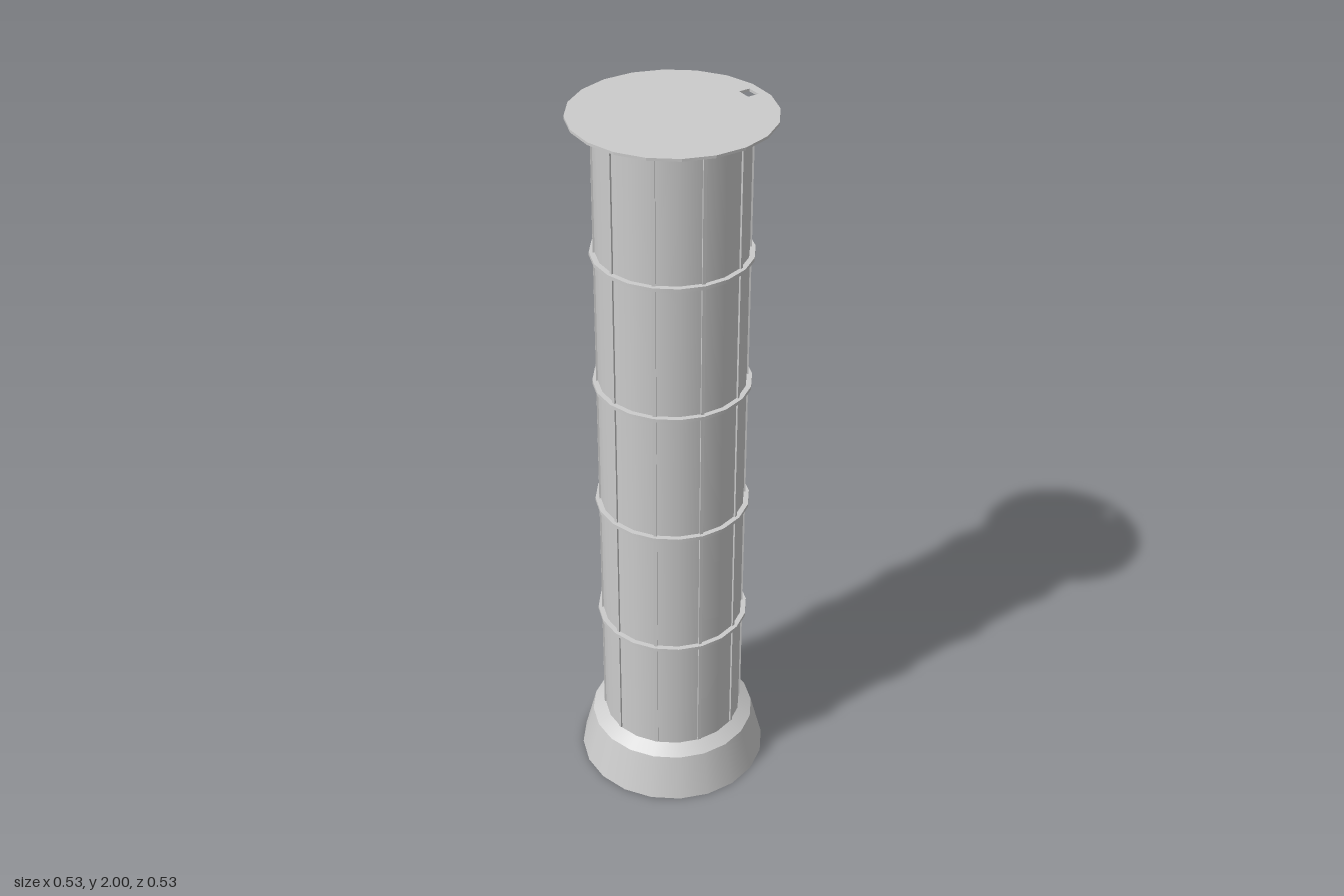
import * as THREE from 'three';

const SIDES = 20;

export function createModel() {
  const group = new THREE.Group();
  const mat = new THREE.MeshStandardMaterial({ color: 0xcccccc, side: THREE.DoubleSide });
  const add = (name, geometry, y = 0) => {
    const mesh = new THREE.Mesh(geometry, mat);
    mesh.name = name;
    mesh.position.y = y;
    group.add(mesh);
    return mesh;
  };
  // open conical band between two heights
  const band = (name, r0, y0, r1, y1) =>
    add(name, new THREE.CylinderGeometry(r1, r0, y1 - y0, SIDES, 1, true), (y0 + y1) / 2);

  // flared foot, open underneath, with a sloping shoulder
  band('footSkirt', 0.265, 0, 0.232, 0.128);
  band('footShoulder', 0.232, 0.128, 0.194, 0.152);

  // hollow shaft in five tiers, with thin battens over the panel seams
  const levels = [0.15, 0.503, 0.879, 1.254, 1.629, 1.993];
  for (let i = 0; i < 5; i++) {
    const y0 = levels[i], y1 = levels[i + 1];
    band('shaftTier', 0.195, y0, 0.195, y1);
    for (let k = 0; k < 10; k++) {
      const a = (k * Math.PI) / 5;
      const batten = add('seamBatten', new THREE.BoxGeometry(0.009, y1 - y0 - 0.01, 0.008), (y0 + y1) / 2);
      batten.position.x = 0.195 * Math.sin(a);
      batten.position.z = 0.195 * Math.cos(a);
      batten.rotation.y = a;
    }
  }

  // projecting hoops between tiers
  const hoopProfile = [[0.193, -0.005], [0.209, -0.005], [0.209, 0.005], [0.193, 0.005]]
    .map(([r, y]) => new THREE.Vector2(r, y));
  for (const y of levels.slice(1, 5)) {
    // separate bands keep the hoop edges sharp
    for (let j = 0; j < 3; j++) {
      add('hoop', new THREE.LatheGeometry([hoopProfile[j], hoopProfile[j + 1]], SIDES), y);
    }
  }

  // flat lid with a small hatch hole near the back edge
  const lid = new THREE.Shape();
  for (let k = 0; k < SIDES; k++) {
    const a = (k * 2 * Math.PI) / SIDES;
    const x = 0.26 * Math.cos(a), y = 0.26 * Math.sin(a);
    if (k) lid.lineTo(x, y); else lid.moveTo(x, y);
  }
  lid.closePath();
  lid.holes.push(new THREE.Path([[0.017, 0.234], [0.055, 0.229], [0.051, 0.198], [0.013, 0.204]]
    .map(([x, y]) => new THREE.Vector2(x, y))));
  const lidGeometry = new THREE.ExtrudeGeometry(lid, { depth: 0.007, bevelEnabled: false });
  lidGeometry.rotateX(-Math.PI / 2);
  add('lid', lidGeometry, 1.993);

  return group;
}
